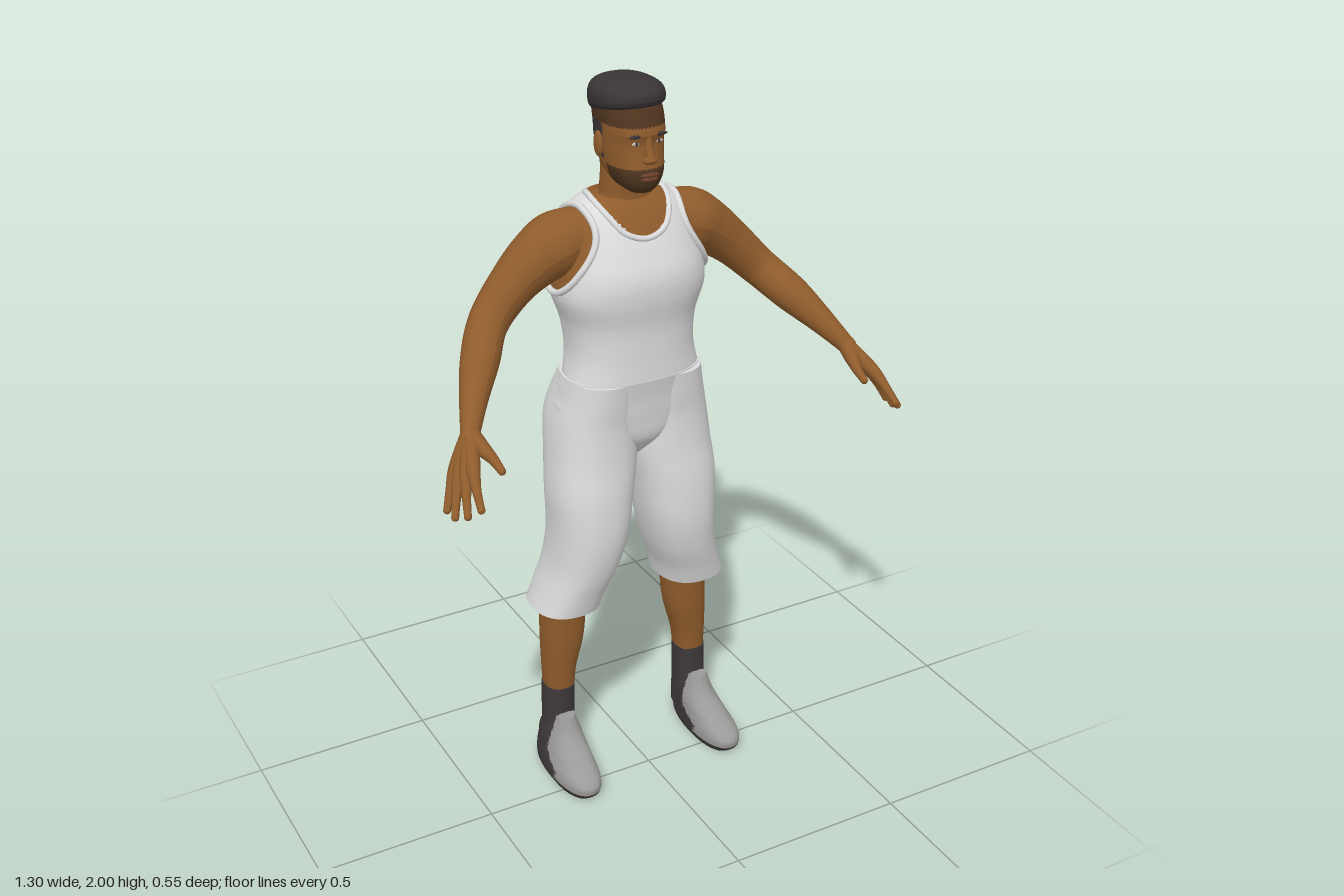
import * as THREE from 'three';
import { toCreasedNormals } from 'three/addons/utils/BufferGeometryUtils.js';

const V = (x, y, z) => new THREE.Vector3(x, y, z);
const mat = (name, color) => {
  const m = new THREE.MeshStandardMaterial({ color, side: THREE.DoubleSide });
  m.name = name;
  return m;
};

// Smooth interpolation through rows of numbers, v in row units
function sample(rows, v) {
  const n = rows.length - 1, i = Math.min(Math.floor(v), n - 1), t = v - i;
  const [a, b, c, d] = [-1, 0, 1, 2].map((k) => rows[Math.max(0, Math.min(n, i + k))]);
  return b.map((_, k) => {
    const m0 = (c[k] - a[k]) / 2, m1 = (d[k] - b[k]) / 2, h = c[k] - b[k];
    return b[k] + t * (m0 + t * (3 * h - 2 * m0 - m1 + t * (m0 + m1 - 2 * h)));
  });
}

const E = 0.85;
const spow = (n) => Math.sign(n) * Math.pow(Math.abs(n), E);

// Body from horizontal sections [y, centreX, halfWidth, zFront, zBack], bottom to top
function loft(rows, seg = 48, sub = 6) {
  const pos = [], idx = [], n = (rows.length - 1) * sub;
  for (let i = 0; i <= n; i++) {
    const [y, cx, rx, zf, zb] = sample(rows, i / sub);
    for (let j = 0; j < seg; j++) {
      const a = (j / seg) * Math.PI * 2;
      pos.push(cx + rx * spow(Math.sin(a)), y, (zf + zb) / 2 + ((zf - zb) / 2) * spow(Math.cos(a)));
    }
  }
  for (let i = 0; i < n; i++) for (let j = 0; j < seg; j++) {
    const a = i * seg + j, b = i * seg + ((j + 1) % seg);
    idx.push(a, b, b + seg, a, b + seg, a + seg);
  }
  const c = pos.length / 3, top = n * seg;
  for (const r of [rows[0], rows[rows.length - 1]]) pos.push(r[1], r[0], (r[3] + r[4]) / 2);
  for (let j = 0; j < seg; j++) {
    const k = (j + 1) % seg;
    idx.push(c, k, j, c + 1, top + j, top + k);
  }
  const g = new THREE.BufferGeometry();
  g.setAttribute('position', new THREE.Float32BufferAttribute(pos, 3));
  g.setIndex(idx);
  return g;
}

// Give each face a material number by the rule pick(x, y, z)
function paint(g, count, pick) {
  const p = g.attributes.position, old = g.index.array;
  const lists = Array.from({ length: count }, () => []);
  for (let i = 0; i < old.length; i += 3) {
    const f = [old[i], old[i + 1], old[i + 2]];
    const mid = (get) => f.reduce((s, k) => s + p[get](k), 0) / 3;
    lists[pick(mid('getX'), mid('getY'), mid('getZ'))].push(...f);
  }
  g.setIndex(lists.flat());
  let start = 0;
  lists.forEach((l, k) => { g.addGroup(start, l.length, k); start += l.length; });
  return g;
}

// Surface height of a loft at height y: half width at z, or front z at x
function section(rows, y) {
  let lo = 0, hi = rows.length - 1;
  for (let i = 0; i < 30; i++) {
    const m = (lo + hi) / 2;
    if (sample(rows, m)[0] < y) lo = m; else hi = m;
  }
  const [, , rx, zf, zb] = sample(rows, lo);
  return { rx, zc: (zf + zb) / 2, rz: (zf - zb) / 2 };
}
const other = (q) => Math.pow(Math.max(0, 1 - Math.pow(Math.min(1, Math.abs(q)), 2 / E)), E / 2);
const xAt = (rows, y, z) => { const s = section(rows, y); return s.rx * other((z - s.zc) / s.rz); };
const zAt = (rows, x, y) => { const s = section(rows, y); return s.zc + s.rz * other(x / s.rx); };

// Tapered round limb through points [x, y, z, radius]
function limb(pts, n = 24, seg = 16) {
  const curve = new THREE.CatmullRomCurve3(pts.map((p) => V(p[0], p[1], p[2])));
  const g = new THREE.TubeGeometry(curve, n, 1, seg), p = g.attributes.position, v = V(0, 0, 0);
  for (let i = 0; i <= n; i++) {
    const c = curve.getPointAt(i / n), t = curve.getUtoTmapping(i / n);
    const r = sample(pts.map((q) => [q[3]]), t * (pts.length - 1))[0];
    for (let j = 0; j <= seg; j++) {
      const k = i * (seg + 1) + j;
      v.fromBufferAttribute(p, k).sub(c).multiplyScalar(r).add(c);
      p.setXYZ(k, v.x, v.y, v.z);
    }
  }
  g.computeVertexNormals();
  return g;
}

const torso = [[1.228, 0, 0.186, 0.021, -0.223], [1.3, 0, 0.173, 0.02, -0.235], [1.38, 0, 0.18, 0.022, -0.25],
  [1.46, 0, 0.205, 0.035, -0.265], [1.52, 0, 0.2, 0.034, -0.268], [1.58, 0, 0.186, 0.012, -0.262],
  [1.64, 0, 0.168, -0.018, -0.245], [1.68, 0, 0.14, -0.045, -0.225], [1.705, 0, 0.1, -0.07, -0.2]];
const skull = [[1.732, 0, 0.03, -0.012, -0.09], [1.75, 0, 0.052, 0.002, -0.14], [1.78, 0, 0.067, 0.01, -0.175],
  [1.82, 0, 0.074, 0.004, -0.195], [1.86, 0, 0.077, 0, -0.205], [1.885, 0, 0.078, 0.006, -0.207],
  [1.93, 0, 0.079, -0.01, -0.21], [1.965, 0, 0.07, -0.03, -0.2]];

export function createModel() {
  const root = new THREE.Group();
  root.name = 'standingMan';
  const skin = mat('skin', 0x8f5c2c), cloth = mat('whiteCloth', 0xdcdcdc), hair = mat('hair', 0x3a3436);
  const beard = mat('beard', 0x50351f), shoeGrey = mat('shoeGrey', 0x9c9a98), dark = mat('darkSock', 0x3e393a);
  const eyeWhite = mat('eyeWhite', 0xc9bfb2), lip = mat('lips', 0x6b3f2a), palmTone = mat('palm', 0xb5a47e);
  const add = (name, g, m) => {
    const mesh = new THREE.Mesh(g, m);
    mesh.name = name;
    root.add(mesh);
    return mesh;
  };
  const solid = (name, g, m) => add(name, toCreasedNormals(g, 0.9), m);
  const ball = (name, p, s, m) => {
    const b = add(name, new THREE.SphereGeometry(1, 20, 14), m);
    b.position.set(...p);
    b.scale.set(...s);
    return b;
  };

  // Tank top, with skin inside the neckline and armholes
  solid('tankTop', paint(loft(torso, 96, 9), 2, (x, y, z) => {
    const low = z > -0.11 ? 1.615 : 1.682;
    const neck = Math.abs(x) < 0.1 && y > low + (1.705 - low) * (x / 0.1) ** 2;
    const arm = Math.abs(x) > 0.1 && Math.hypot((z + 0.125) / 0.095, (y - 1.58) / 0.105) < 1;
    return neck || arm ? 1 : 0;
  }), [cloth, skin]);
  const rim = (name, pts, r) => add(name, new THREE.TubeGeometry(new THREE.CatmullRomCurve3(pts, true), 64, r, 8, true), cloth);
  const half = [[0.055, 1.632], [0.088, 1.675]].map(([x, y]) => V(x, y, zAt(torso, x, y)));
  half.push(V(0.1, 1.706, -0.125), V(0.07, 1.694, -0.198));
  rim('neckline', [V(0, 1.615, zAt(torso, 0, 1.615)), ...half, V(0, 1.685, -0.22),
    ...half.slice().reverse().map((p) => V(-p.x, p.y, p.z))], 0.008);

  // Shorts seat and back tab
  solid('shortsSeat', loft([[0.99, 0, 0.04, -0.06, -0.17], [1.05, 0, 0.12, -0.01, -0.22], [1.12, 0, 0.205, 0.004, -0.25],
    [1.18, 0, 0.2, 0.012, -0.245], [1.235, 0, 0.19, 0.023, -0.226]]), cloth);
  const tab = add('waistTab', new THREE.BoxGeometry(0.07, 0.025, 0.014), cloth);
  tab.position.set(0, 1.222, -0.232);

  // Neck and head
  solid('neck', loft([[1.6, 0, 0.09, -0.05, -0.225], [1.66, 0, 0.085, -0.055, -0.2], [1.7, 0, 0.07, -0.064, -0.18],
    [1.75, 0, 0.064, -0.06, -0.176], [1.8, 0, 0.062, -0.06, -0.18]]), skin);
  solid('head', paint(loft(skull, 64, 10), 3, (x, y, z) => {
    if (y > 1.9) return 1;
    if (y < 1.797 && z > -0.085) return 1;
    if (y > 1.81 && z < -0.095 && (z > -0.18 || y > 1.85)) return 2;
    return 0;
  }), [skin, beard, hair]);
  const cap = loft([[1.925, 0, 0.077, -0.018, -0.21], [1.938, 0, 0.086, -0.007, -0.217], [1.965, 0, 0.087, -0.008, -0.219],
    [1.985, 0, 0.077, -0.022, -0.208], [1.997, 0, 0.052, -0.05, -0.18], [2, 0, 0.02, -0.09, -0.14]]);
  const cp = cap.attributes.position;
  for (let i = 0; i < cp.count; i++) {
    const y = cp.getY(i);
    cp.setY(i, y + (cp.getZ(i) + 0.12) * 0.18 * (2 - y) / 0.07);
  }
  solid('hairCap', cap, hair);

  // Face
  limb([[0, 1.865, 0.002, 0.009], [0, 1.84, 0.009, 0.011], [0, 1.822, 0.014, 0.013]], 10, 12);
  add('noseBridge', limb([[0, 1.88, -0.002, 0.008], [0, 1.85, 0.004, 0.01], [0, 1.823, 0.012, 0.012]], 10, 12), skin);
  ball('noseTip', [0, 1.821, 0.01], [0.02, 0.011, 0.014], skin);
  ball('upperLip', [0, 1.783, 0.008], [0.026, 0.006, 0.009], lip);
  ball('lowerLip', [0, 1.772, 0.007], [0.023, 0.007, 0.01], lip);

  for (const s of [1, -1]) {
    const side = s > 0 ? 'left' : 'right';
    const m = (rows) => rows.map(([a, b, ...r]) => [a, b * s, ...r]);
    const mx = (rows) => rows.map(([x, ...r]) => [x * s, ...r]);

    ball(side + 'Eye', [s * 0.031, 1.862, zAt(skull, 0.031, 1.862)], [0.012, 0.005, 0.003], eyeWhite);
    ball(side + 'Pupil', [s * 0.031, 1.862, zAt(skull, 0.031, 1.862) + 0.001], [0.005, 0.005, 0.003], hair);
    ball(side + 'Brow', [s * 0.033, 1.881, zAt(skull, 0.033, 1.881)], [0.02, 0.005, 0.004], hair);
    ball(side + 'Ear', [s * 0.079, 1.842, -0.112], [0.009, 0.033, 0.02], skin);

    // Armhole rim
    const hole = [];
    for (let i = 0; i < 20; i++) {
      const t = (i / 20) * Math.PI * 2, y = 1.58 + 0.108 * Math.sin(t), z = -0.125 + 0.097 * Math.cos(t);
      hole.push(V(s * (xAt(torso, y, z) + 0.004), y, z));
    }
    rim(side + 'ArmholeRim', hole, 0.009);

    // Arm
    add(side + 'Arm', limb(mx([[0.11, 1.615, -0.13, 0.07], [0.19, 1.592, -0.135, 0.083], [0.25, 1.56, -0.137, 0.073],
      [0.32, 1.505, -0.132, 0.06], [0.395, 1.43, -0.11, 0.052], [0.455, 1.365, -0.035, 0.049],
      [0.505, 1.305, 0.035, 0.036], [0.54, 1.258, 0.09, 0.026], [0.553, 1.24, 0.11, 0.024]]), 56, 24), skin);

    // Hand: each finger runs from the wrist through its knuckle
    const tips = [[0.597, 1.135, 0.267], [0.622, 1.112, 0.243], [0.638, 1.094, 0.202], [0.642, 1.096, 0.163]];
    tips.forEach(([x, y, z], i) => {
      const w = [0.54, 1.258, 0.092], k = 0.52, at = [x, y, z].map((c, a) => w[a] + (c - w[a]) * k);
      add(side + 'Finger' + (i + 1), limb(mx([[...w, 0.021], [at[0] + 0.008, at[1] + 0.006, at[2], 0.018],
        [(at[0] + x) / 2 + 0.006, (at[1] + y) / 2 + 0.004, (at[2] + z) / 2, 0.012], [x, y, z, 0.0095]]), 18, 12), skin);
      ball(side + 'Fingertip' + (i + 1), [x * s, y, z], [0.0095, 0.0095, 0.0095], skin);
    });
    add(side + 'Thumb', limb(mx([[0.545, 1.25, 0.1, 0.022], [0.535, 1.228, 0.15, 0.019], [0.525, 1.213, 0.19, 0.013],
      [0.522, 1.2, 0.225, 0.01]]), 18, 12), skin);
    ball(side + 'ThumbTip', [s * 0.522, 1.2, 0.225], [0.01, 0.01, 0.01], skin);
    const palm = add(side + 'Palm', new THREE.CircleGeometry(0.024, 20), palmTone);
    const down = V(-0.82 * s, -0.55, -0.15).normalize();
    palm.quaternion.setFromUnitVectors(V(0, 0, 1), down);
    palm.position.set(s * 0.587, 1.187, 0.152).addScaledVector(down, 0.018);

    // Shorts leg and hem
    solid(side + 'ShortsLeg', loft(m([[0.545, 0.195, 0.096, -0.03, -0.245], [0.6, 0.178, 0.093, -0.016, -0.242],
      [0.68, 0.151, 0.096, 0.006, -0.236], [0.78, 0.134, 0.104, 0.021, -0.226], [0.9, 0.126, 0.114, 0.019, -0.228],
      [1, 0.113, 0.118, 0.009, -0.248], [1.1, 0.107, 0.112, 0.006, -0.27], [1.17, 0.1, 0.102, 0.012, -0.254],
      [1.232, 0.093, 0.094, 0.018, -0.222]])), cloth);
    const hem = add(side + 'Hem', new THREE.TorusGeometry(1, 0.06, 8, 48).rotateX(Math.PI / 2), cloth);
    hem.position.set(s * 0.195, 0.547, -0.138);
    hem.scale.set(0.088, 0.12, 0.1);

    // Calf, sock and shoe
    solid(side + 'Calf', loft(m([[0.24, 0.212, 0.041, -0.102, -0.193], [0.32, 0.21, 0.046, -0.097, -0.2],
      [0.42, 0.198, 0.058, -0.087, -0.213], [0.5, 0.193, 0.061, -0.083, -0.217], [0.58, 0.19, 0.06, -0.075, -0.215]]), 32), skin);
    solid(side + 'Sock', loft(m([[0.06, 0.215, 0.045, -0.1, -0.2], [0.14, 0.215, 0.044, -0.1, -0.2],
      [0.27, 0.213, 0.044, -0.1, -0.197]]), 32), dark);
    solid(side + 'Shoe', paint(loft(m([[0.005, 0.228, 0.052, 0.068, -0.2], [0.025, 0.228, 0.061, 0.088, -0.211],
      [0.055, 0.227, 0.06, 0.086, -0.215], [0.085, 0.223, 0.054, 0.038, -0.215], [0.115, 0.219, 0.05, -0.02, -0.213],
      [0.145, 0.217, 0.042, -0.05, -0.19], [0.188, 0.217, 0.027, -0.07, -0.14]]), 64, 8), 2,
    (x, y, z) => (y < 0.028 || z < -0.1 || y < 0.045 - (z + 0.02) * 0.5 && z < -0.03 ? 1 : 0)), [shoeGrey, dark]);
  }
  return root;
}
